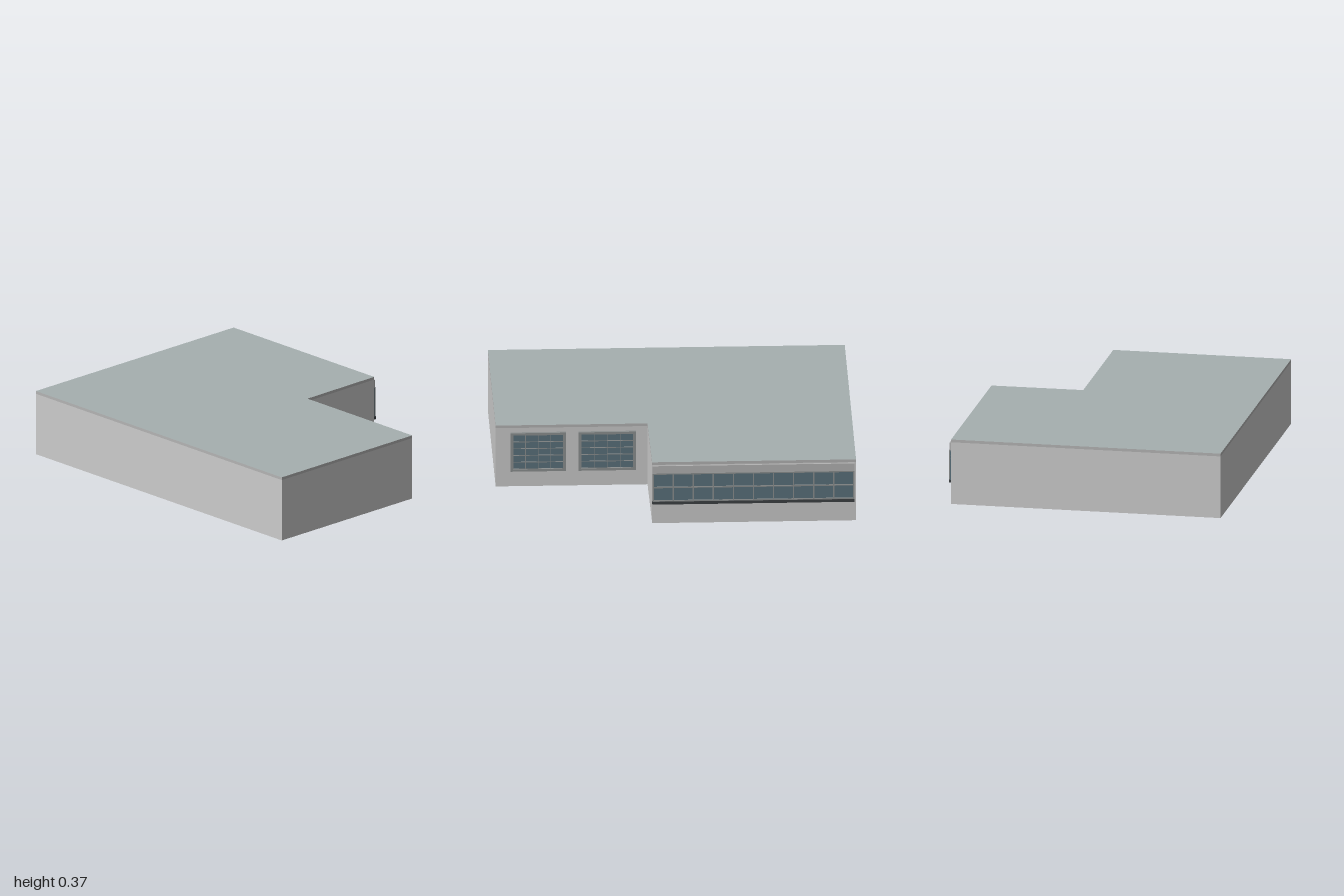
import * as THREE from 'three';

const mat = (color) => new THREE.MeshStandardMaterial({ color });

export function createModel() {
  const wall = mat(0xcccccc), roofMat = mat(0xa6b0b0), trim = mat(0xb4b4b4);
  const frame = mat(0x8c9090), glass = mat(0x5a717c), dark = mat(0x3c4043);
  const model = new THREE.Group();

  // box given by its lower and upper corners
  function box(parent, name, material, x0, x1, y0, y1, z0, z1) {
    const mesh = new THREE.Mesh(new THREE.BoxGeometry(x1 - x0, y1 - y0, z1 - z0), material);
    mesh.position.set((x0 + x1) / 2, (y0 + y1) / 2, (z0 + z1) / 2);
    mesh.name = name;
    parent.add(mesh);
  }

  // slightly skewed L-shaped plan, as x and z
  const plan = [[-0.99, 0.77], [1, 0.77], [0.992, -0.24], [0.145, -0.24], [0.137, -0.76], [-1, -0.76]];
  const outline = new THREE.Shape(plan.map(([x, z]) => new THREE.Vector2(x, -z)));
  function storey(name, y0, y1, materials) {
    const geo = new THREE.ExtrudeGeometry(outline, { depth: y1 - y0, bevelEnabled: false });
    geo.rotateX(-Math.PI / 2).translate(0, y0, 0);
    const mesh = new THREE.Mesh(geo, materials);
    mesh.name = name;
    model.add(mesh);
  }
  storey('walls', 0, 0.357, wall);
  storey('roof', 0.357, 0.373, [roofMat, trim]);

  // glazing bars dividing a pane into columns and rows
  function bars(parent, material, cols, rows, x0, x1, y0, y1, z0, z1, w) {
    for (let i = 0; i <= cols; i++) {
      const x = x0 + w / 2 + (x1 - x0 - w) * i / cols;
      box(parent, 'mullion', material, x - w / 2, x + w / 2, y0, y1, z0, z1);
    }
    for (let j = 0; j <= rows; j++) {
      const y = y0 + w / 2 + (y1 - y0 - w) * j / rows;
      box(parent, 'transom', material, x0, x1, y - w / 2, y + w / 2, z0, z1 - 0.0005);
    }
  }

  // long ribbon window on the back of the wing
  const ribbon = new THREE.Group();
  ribbon.name = 'ribbonWindow';
  model.add(ribbon);
  box(ribbon, 'header', trim, -0.99, 0.135, 0.307, 0.353, -0.77, -0.758);
  box(ribbon, 'glass', glass, -0.99, 0.135, 0.135, 0.307, -0.768, -0.758);
  box(ribbon, 'sill', dark, -0.99, 0.137, 0.12, 0.137, -0.775, -0.758);
  bars(ribbon, frame, 10, 2, -0.99, 0.135, 0.137, 0.309, -0.774, -0.765, 0.007);

  // two framed windows in the recess
  for (const [x0, x1] of [[0.21, 0.53], [0.6, 0.91]]) {
    const win = new THREE.Group();
    win.name = 'recessWindow';
    model.add(win);
    box(win, 'glass', glass, x0 + 0.01, x1 - 0.01, 0.105, 0.32, -0.247, -0.238);
    bars(win, frame, 1, 1, x0, x1, 0.095, 0.33, -0.254, -0.238, 0.014);
    bars(win, frame, 4, 5, x0 + 0.012, x1 - 0.012, 0.107, 0.318, -0.25, -0.245, 0.004);
  }
  return model;
}
